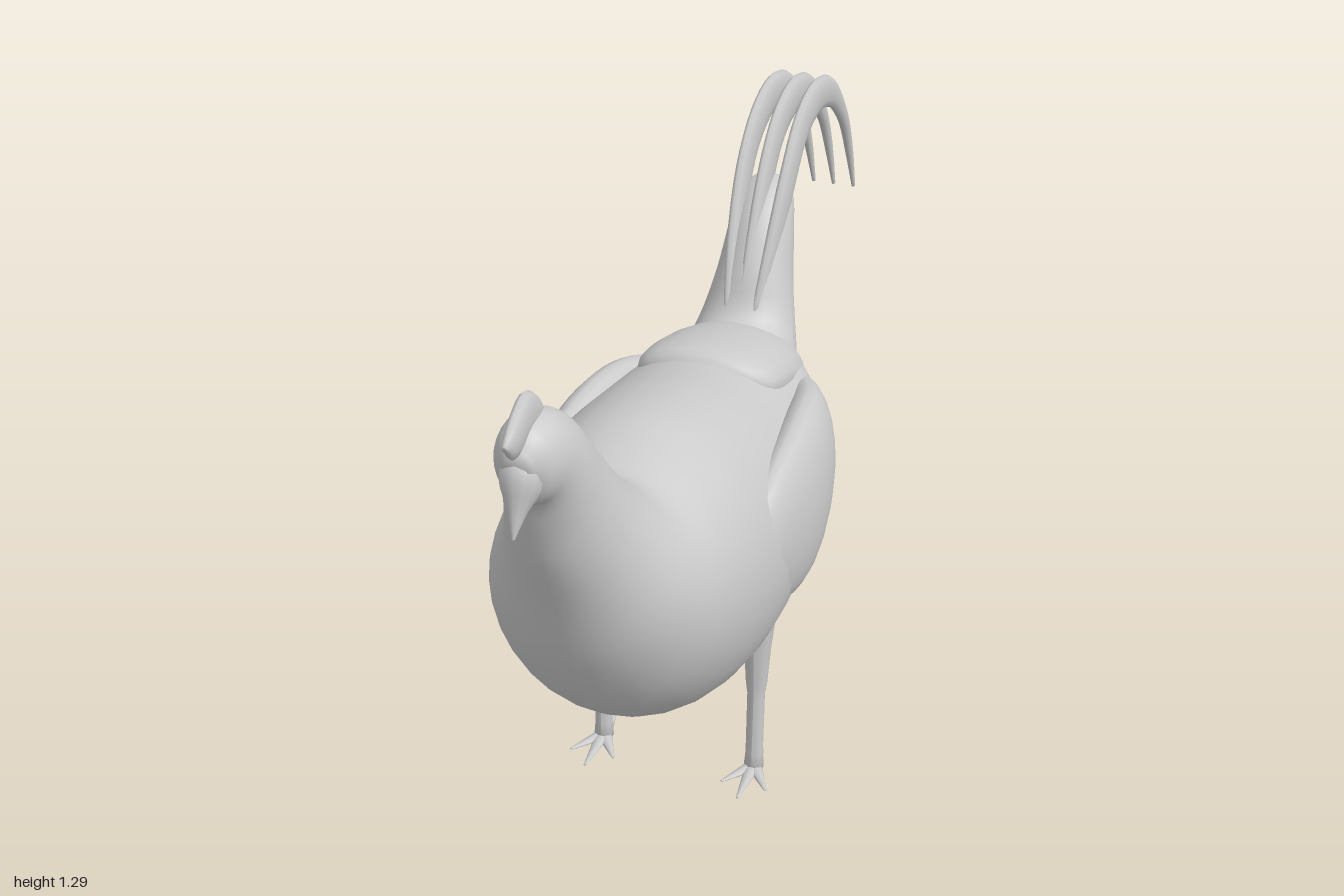
import * as THREE from 'three';

const material = new THREE.MeshStandardMaterial({ color: 0xcccccc });

function addMesh(parent, name, geometry) {
  const mesh = new THREE.Mesh(geometry, material);
  mesh.name = name;
  parent.add(mesh);
  return mesh;
}

// Smooth closed loft. Each ring: [top z, top y, bottom z, bottom y, half width, centre x]
function loft(rings, steps = 4, sides = 24) {
  const tops = new THREE.CatmullRomCurve3(rings.map(r => new THREE.Vector3(r[4], r[1], r[0])));
  const bottoms = new THREE.CatmullRomCurve3(rings.map(r => new THREE.Vector3(r[5] || 0, r[3], r[2])));
  const n = (rings.length - 1) * steps;
  const pos = [], index = [];
  for (let i = 0; i <= n; i++) {
    const t = tops.getPoint(i / n), b = bottoms.getPoint(i / n);
    for (let j = 0; j < sides; j++) {
      const a = (j / sides) * Math.PI * 2, s = (Math.sin(a) + 1) / 2;
      pos.push(b.x + Math.cos(a) * t.x, b.y + (t.y - b.y) * s, b.z + (t.z - b.z) * s);
    }
  }
  for (let i = 0; i < n; i++) {
    for (let j = 0; j < sides; j++) {
      const k = (j + 1) % sides, p = i * sides, q = p + sides;
      index.push(p + j, q + j, p + k, q + j, q + k, p + k);
    }
  }
  // Close both ends with fans
  for (const [ring, base] of [[rings[0], 0], [rings[rings.length - 1], n * sides]]) {
    const c = pos.length / 3;
    pos.push(ring[5] || 0, (ring[1] + ring[3]) / 2, (ring[0] + ring[2]) / 2);
    for (let j = 0; j < sides; j++) {
      const k = (j + 1) % sides;
      if (base === 0) index.push(c, base + j, base + k);
      else index.push(c, base + k, base + j);
    }
  }
  const g = new THREE.BufferGeometry();
  g.setAttribute('position', new THREE.Float32BufferAttribute(pos, 3));
  g.setIndex(index);
  g.computeVertexNormals();
  return g;
}

function buildLeg(side) {
  const leg = new THREE.Group();
  leg.name = side > 0 ? 'leftLeg' : 'rightLeg';
  leg.position.set(side * 0.175, 0, 0.175);

  // Tapered thigh and shank, leaning slightly back towards the hip
  const profile = [[0.001, 0.008], [0.022, 0.012], [0.019, 0.05], [0.019, 0.2], [0.023, 0.23],
    [0.029, 0.32], [0.037, 0.4], [0.05, 0.48]];
  const shank = new THREE.LatheGeometry(profile.map(p => new THREE.Vector2(...p)), 14);
  const p = shank.attributes.position;
  for (let i = 0; i < p.count; i++) p.setZ(i, p.getZ(i) - p.getY(i) * 0.05);
  shank.computeVertexNormals();
  addMesh(leg, 'shank', shank);

  // Flattened toes: three forward, one back
  for (const [x, z] of [[0, 0.118], [0.05, 0.075], [-0.05, 0.075], [0, -0.068]]) {
    const length = Math.hypot(x, z);
    const g = new THREE.CylinderGeometry(0.003, 0.018, length, 8);
    g.translate(0, length / 2, 0).rotateX(Math.PI / 2).scale(1, 0.6, 1);
    const toe = addMesh(leg, 'toe', g);
    toe.position.y = 0.012;
    toe.rotation.y = Math.atan2(x, z);
  }
  return leg;
}

export function createModel() {
  const model = new THREE.Group();
  model.name = 'rooster';

  // Head, neck and trunk in one skin
  addMesh(model, 'body', loft([
    [0.965, 1.195, 0.958, 1.15, 0.022],
    [0.93, 1.232, 0.93, 1.09, 0.052],
    [0.87, 1.238, 0.905, 1.07, 0.068],
    [0.8, 1.205, 0.885, 1.0, 0.08],
    [0.73, 1.12, 0.865, 0.92, 0.096],
    [0.64, 1.005, 0.82, 0.8, 0.135],
    [0.56, 0.945, 0.76, 0.63, 0.195],
    [0.47, 0.955, 0.66, 0.47, 0.24],
    [0.37, 0.965, 0.5, 0.35, 0.268],
    [0.22, 0.945, 0.3, 0.298, 0.28],
    [0.06, 0.91, 0.12, 0.33, 0.273],
    [-0.1, 0.885, -0.04, 0.385, 0.245],
    [-0.2, 0.875, -0.2, 0.49, 0.2],
    [-0.28, 0.84, -0.31, 0.61, 0.135],
    [-0.34, 0.79, -0.355, 0.7, 0.06],
  ], 4, 32));

  // Raised feathers over the rump
  addMesh(model, 'saddle', loft([
    [0.04, 0.89, 0.04, 0.82, 0.07],
    [0, 0.92, 0, 0.78, 0.145],
    [-0.12, 0.905, -0.12, 0.73, 0.16],
    [-0.24, 0.87, -0.25, 0.66, 0.15],
    [-0.33, 0.81, -0.34, 0.68, 0.1],
    [-0.36, 0.77, -0.36, 0.72, 0.04],
  ]));

  // Beak, from the tip up into the face
  addMesh(model, 'beak', loft([
    [0.985, 1.05, 0.98, 1.05, 0.003],
    [0.978, 1.11, 0.945, 1.085, 0.02],
    [0.97, 1.17, 0.92, 1.1, 0.038],
    [0.94, 1.2, 0.9, 1.14, 0.04],
  ], 3, 12));

  addMesh(model, 'comb', loft([
    [1.0, 1.237, 0.995, 1.222, 0.006],
    [0.965, 1.268, 0.97, 1.195, 0.014],
    [0.91, 1.292, 0.92, 1.2, 0.016],
    [0.87, 1.268, 0.88, 1.2, 0.014],
    [0.84, 1.23, 0.85, 1.21, 0.006],
  ], 3, 12));

  // Folded wings and legs
  for (const side of [1, -1]) {
    addMesh(model, side > 0 ? 'leftWing' : 'rightWing', loft([
      [0.43, 0.73, 0.43, 0.62, 0.02, 0.225],
      [0.28, 0.815, 0.28, 0.51, 0.055, 0.23],
      [0.1, 0.84, 0.1, 0.46, 0.072, 0.226],
      [-0.06, 0.83, -0.04, 0.5, 0.068, 0.208],
      [-0.18, 0.795, -0.18, 0.56, 0.055, 0.168],
      [-0.29, 0.74, -0.29, 0.63, 0.025, 0.125],
    ].map(r => [...r.slice(0, 5), r[5] * side])));
    model.add(buildLeg(side));
  }

  // Tail root flaring out of the rump
  addMesh(model, 'tailBase', loft([
    [-0.13, 0.86, -0.33, 0.62, 0.14],
    [-0.23, 0.89, -0.37, 0.77, 0.11],
    [-0.28, 0.98, -0.425, 0.88, 0.085],
    [-0.34, 1.07, -0.458, 0.99, 0.071],
    [-0.41, 1.125, -0.47, 1.08, 0.055],
    [-0.445, 1.135, -0.468, 1.12, 0.025],
  ]));

  // Three thin sickle feathers, spreading slightly towards the tips
  for (const x of [-0.05, 0, 0.05]) {
    addMesh(model, 'tailFeather', loft([
      [-0.235, 0.88, -0.3, 0.85, 0.012, x * 0.6],
      [-0.3, 1.03, -0.38, 0.98, 0.015, x * 0.85],
      [-0.39, 1.175, -0.46, 1.11, 0.015, x],
      [-0.49, 1.262, -0.54, 1.18, 0.015, x],
      [-0.62, 1.292, -0.64, 1.205, 0.015, x],
      [-0.76, 1.248, -0.75, 1.18, 0.014, x],
      [-0.88, 1.13, -0.865, 1.09, 0.012, x],
      [-0.95, 1.01, -0.93, 0.99, 0.009, x],
      [-1.0, 0.888, -0.985, 0.89, 0.004, x],
    ], 4, 12));
  }

  return model;
}
